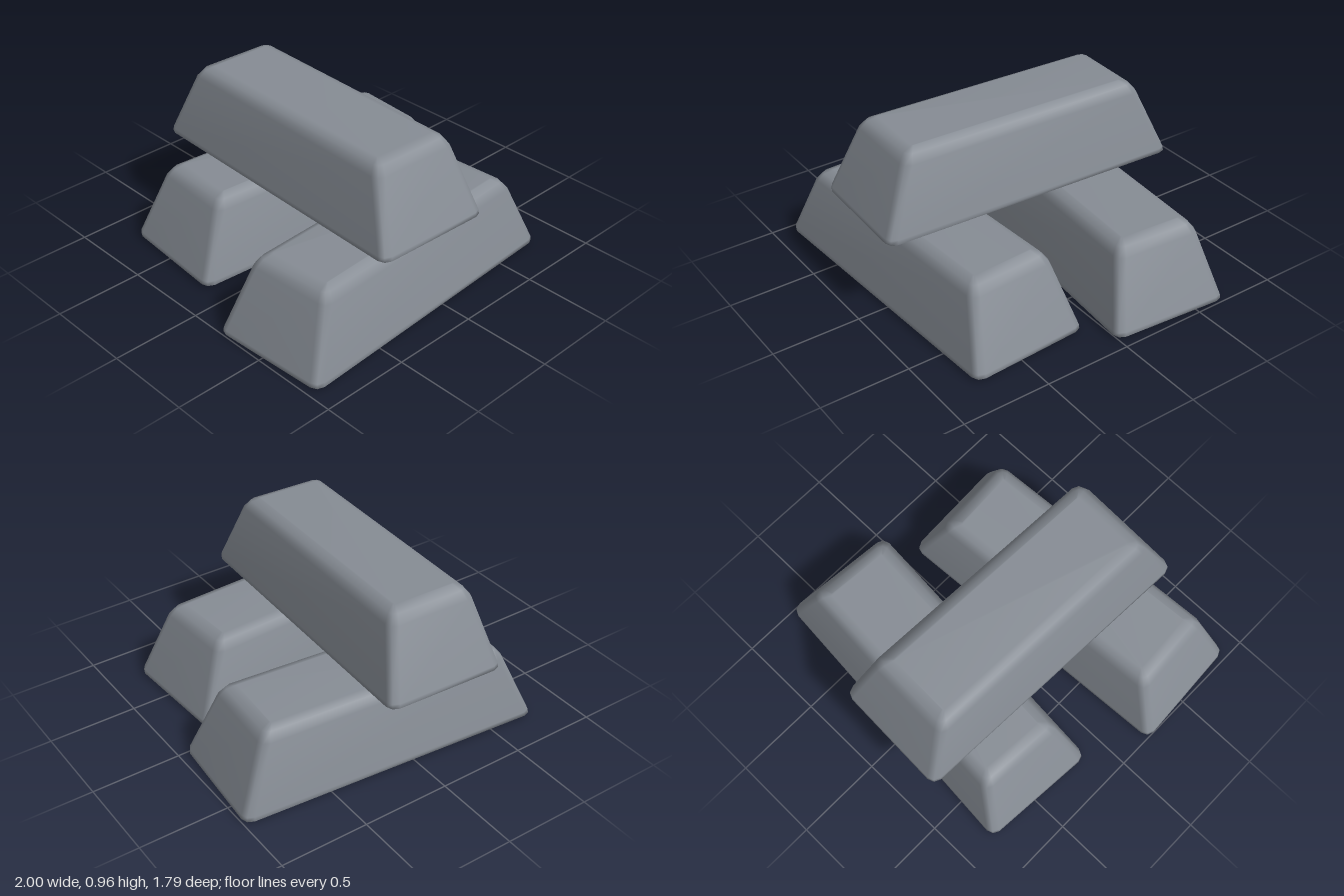
import * as THREE from 'three';

// Bar profile from bottom to top: [height, half length, half width, corner radius]
const RINGS = [
  [0.0, 0.865, 0.325, 0.035],
  [0.015, 0.885, 0.345, 0.05],
  [0.04, 0.882, 0.343, 0.05],
  [0.39, 0.738, 0.26, 0.05],
  [0.436, 0.702, 0.227, 0.035],
  [0.455, 0.65, 0.185, 0.01],
];
const CORNER_STEPS = 2;

// Tapered bar with softened edges, lofted through rounded rectangles
function barGeometry() {
  const positions = [];
  const index = [];
  const n = 4 * (CORNER_STEPS + 1);
  const signs = [[1, 1], [-1, 1], [-1, -1], [1, -1]];
  for (const [y, halfLength, halfWidth, r] of RINGS) {
    signs.forEach(([sx, sz], corner) => {
      for (let s = 0; s <= CORNER_STEPS; s++) {
        const a = (corner + s / CORNER_STEPS) * Math.PI / 2;
        positions.push(
          sx * (halfLength - r) + r * Math.cos(a), y,
          sz * (halfWidth - r) + r * Math.sin(a));
      }
    });
  }
  // Sides
  for (let k = 0; k < RINGS.length - 1; k++) {
    for (let i = 0; i < n; i++) {
      const a = k * n + i, b = k * n + (i + 1) % n;
      index.push(a, a + n, b, b, a + n, b + n);
    }
  }
  // Bottom and top caps
  const top = (RINGS.length - 1) * n;
  for (let i = 1; i < n - 1; i++) {
    index.push(0, i, i + 1, top, top + i + 1, top + i);
  }
  const geometry = new THREE.BufferGeometry();
  geometry.setAttribute('position', new THREE.Float32BufferAttribute(positions, 3));
  geometry.setIndex(index);
  geometry.computeVertexNormals();
  return geometry;
}

export function createModel() {
  const model = new THREE.Group();
  model.name = 'ingotStack';
  const metal = new THREE.MeshStandardMaterial({ color: 0x868c94 });
  metal.name = 'greyMetal';
  const geometry = barGeometry();

  // Two bars on the ground, one laid across them
  const bars = [
    ['frontIngot', -0.1, 0, 0.493, 3.2],
    ['backIngot', 0.09, 0, -0.4, -4.5],
    ['topIngot', -0.118, 0.502, -0.003, 87.7],
  ];
  for (const [name, x, y, z, degrees] of bars) {
    const bar = new THREE.Mesh(geometry, metal);
    bar.name = name;
    bar.position.set(x, y, z);
    bar.rotation.y = THREE.MathUtils.degToRad(degrees);
    model.add(bar);
  }
  return model;
}
